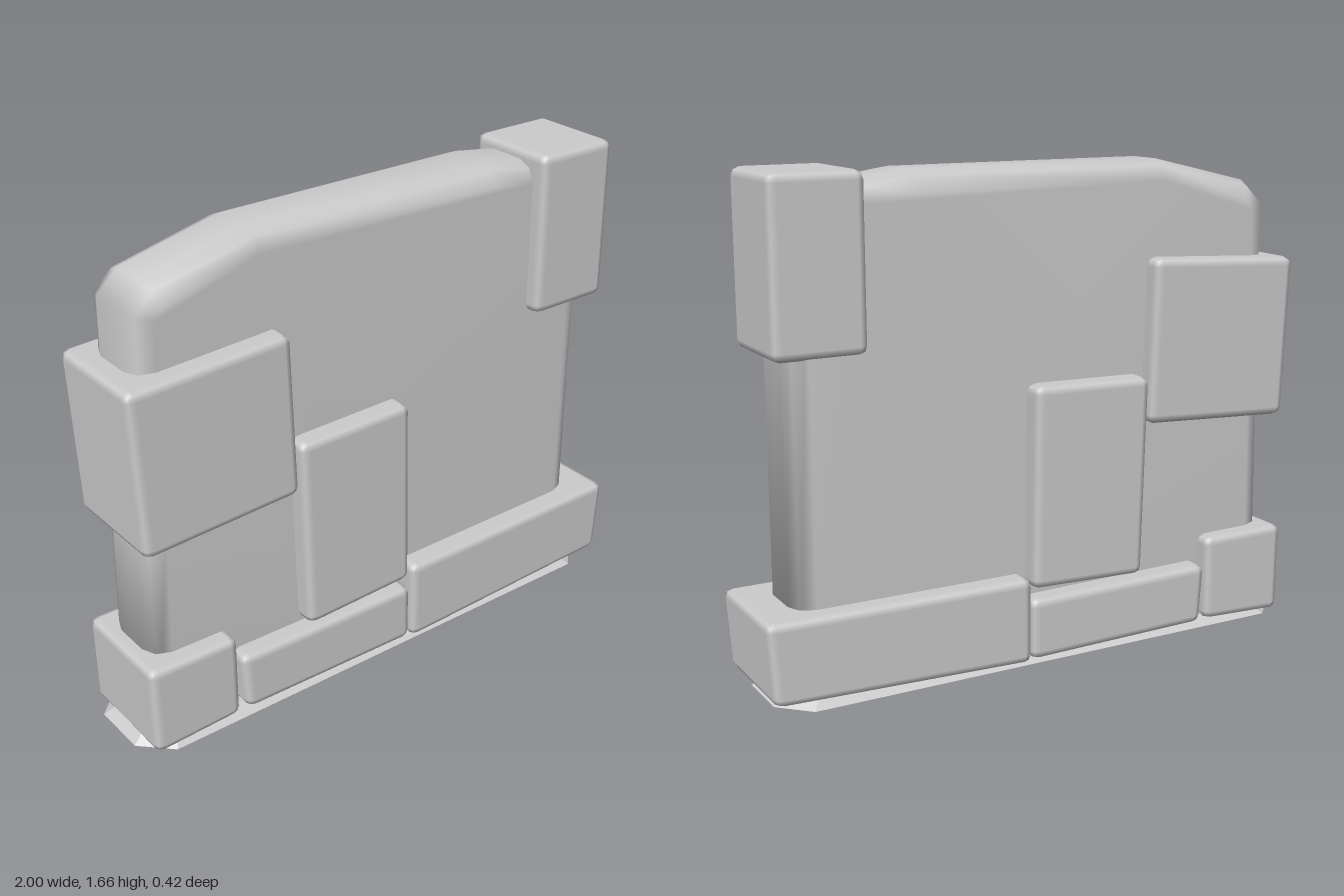
import * as THREE from 'three';
import { mergeVertices } from 'three/addons/utils/BufferGeometryUtils.js';
import { RoundedBoxGeometry } from 'three/addons/geometries/RoundedBoxGeometry.js';
import { ConvexGeometry } from 'three/addons/geometries/ConvexGeometry.js';

const material = new THREE.MeshStandardMaterial({ color: 0xcccccc });

function addMesh(group, name, geometry) {
  const mesh = new THREE.Mesh(geometry, material);
  mesh.name = name;
  group.add(mesh);
}

// Chamfered block warped to a front quad: bottom left, bottom right, top right, top left
function blockGeometry([bl, br, tr, tl], zBack, zFront) {
  const w = br[0] - bl[0], h = tl[1] - bl[1], d = zFront - zBack;
  const geometry = new RoundedBoxGeometry(w, h, d, 1, 0.03);
  const p = geometry.attributes.position;
  for (let i = 0; i < p.count; i++) {
    const u = p.getX(i) / w + 0.5, v = p.getY(i) / h + 0.5;
    const mix = (k) => (1 - v) * ((1 - u) * bl[k] + u * br[k]) + v * ((1 - u) * tl[k] + u * tr[k]);
    p.setXYZ(i, mix(0), mix(1), p.getZ(i) + (zBack + zFront) / 2);
  }
  return geometry;
}

// Slab with a worn top corner and softened edges
function wallGeometry() {
  const outline = [[-0.93, 0], [0.88, 0], [0.88, 1.59], [0.62, 1.63], [0.45, 1.655],
    [-0.48, 1.655], [-0.84, 1.57], [-0.91, 1.5], [-0.92, 0.75]];
  const shape = new THREE.Shape(outline.map(([x, y]) => new THREE.Vector2(x, y)));
  const bevel = 0.07, depth = 0.27;
  const geometry = new THREE.ExtrudeGeometry(shape, {
    depth: depth - 2 * bevel, bevelEnabled: true, bevelSize: bevel, bevelThickness: bevel,
    bevelOffset: -bevel, bevelSegments: 2,
  });
  geometry.translate(0, 0, bevel - depth / 2 - 0.003);
  geometry.deleteAttribute('normal');
  geometry.deleteAttribute('uv');
  const smooth = mergeVertices(geometry, 1e-4);
  smooth.computeVertexNormals();
  return smooth;
}

// Flared footing with clipped corners
function footingGeometry() {
  const points = [];
  const ring = (x0, x1, z, cut, y) => {
    for (const s of [-1, 1]) {
      for (const [x, zz] of [[x0, z - cut], [x0 + cut, z], [x1 - cut, z], [x1, z - cut]]) {
        points.push(new THREE.Vector3(x, y, s * zz));
      }
    }
  };
  ring(-1, 0.95, 0.2, 0.1, 0);
  ring(-0.95, 0.9, 0.16, 0.08, 0.035);
  return new ConvexGeometry(points);
}

export function createModel() {
  const group = new THREE.Group();
  group.name = 'stoneWall';
  addMesh(group, 'wallSlab', wallGeometry());
  addMesh(group, 'footing', footingGeometry());

  // Stones set through the slab
  const stones = [
    ['upperSideStone', [[-0.96, 0.74], [-0.39, 0.77], [-0.41, 1.335], [-0.985, 1.305]], -0.2, 0.2],
    ['middleStone', [[-0.365, 0.245], [0.065, 0.26], [0.055, 0.95], [-0.385, 0.94]], -0.21, 0.2],
    ['topCornerStone', [[0.615, 1.1], [0.93, 1.1], [0.93, 1.665], [0.615, 1.665]], -0.157, 0.185],
    ['longBaseStone', [[0.07, 0.005], [0.98, 0.035], [1, 0.31], [0.07, 0.305]], -0.21, 0.208],
    ['middleBaseStone', [[-0.62, 0.02], [0.07, 0.01], [0.07, 0.225], [-0.635, 0.235]], -0.208, 0.2],
    ['cornerBaseStone', [[-0.97, 0.005], [-0.645, 0.02], [-0.645, 0.325], [-0.975, 0.33]], -0.2, 0.197],
  ];
  for (const [name, corners, zBack, zFront] of stones) {
    addMesh(group, name, blockGeometry(corners, zBack, zFront));
  }
  return group;
}
